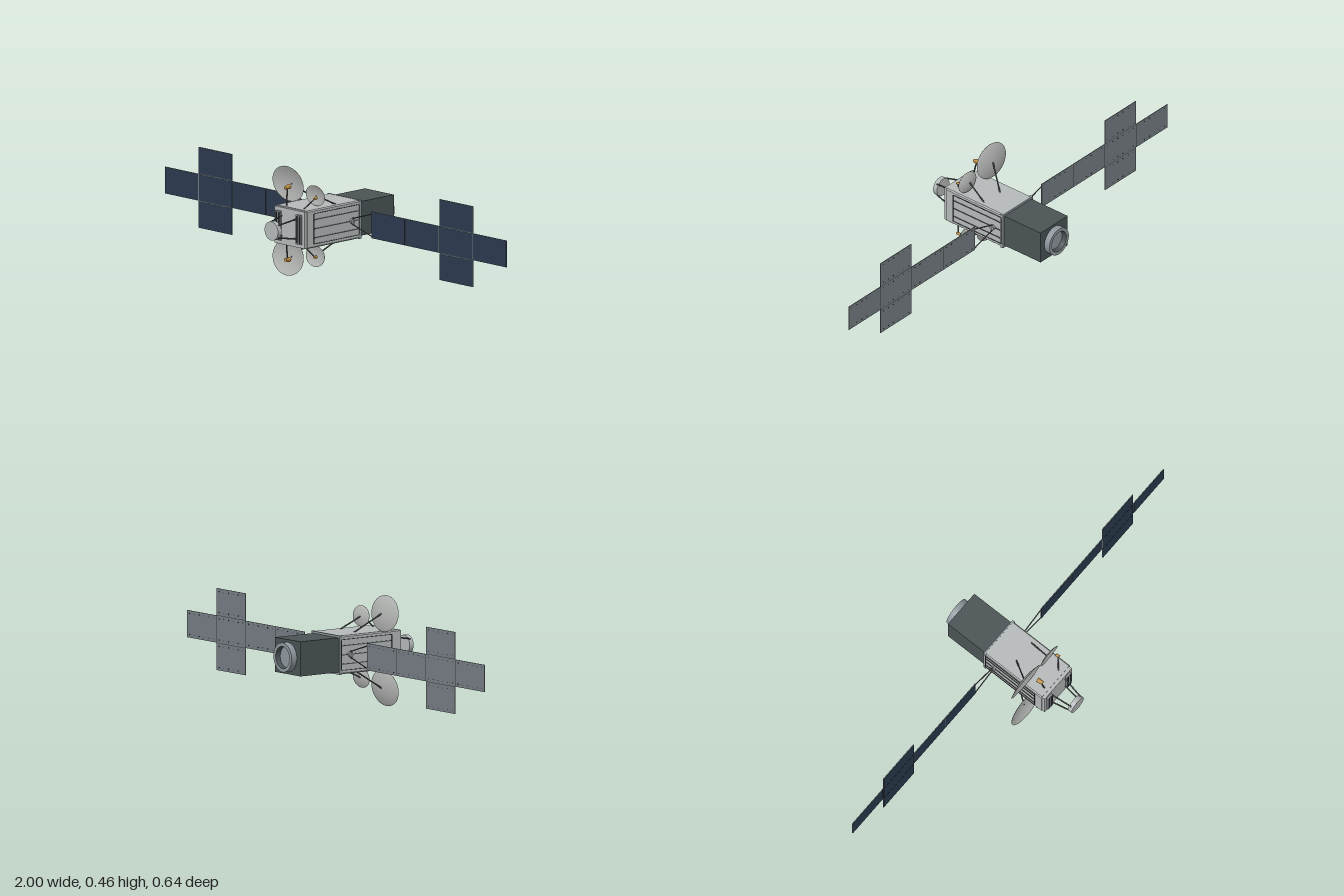
import * as THREE from 'three';

const mat = (name, color, side = THREE.FrontSide) => {
  const m = new THREE.MeshStandardMaterial({ color, side });
  m.name = name;
  return m;
};

export function createModel() {
  const M = {
    body: mat('bodyGrey', 0xb6baba),
    dish: mat('dishGrey', 0xb4b6b4, THREE.DoubleSide),
    steel: mat('steel', 0x8f979e, THREE.DoubleSide),
    charcoal: mat('charcoal', 0x4a5355),
    strut: mat('strutGrey', 0x505356),
    navy: mat('solarNavy', 0x2b3a4e),
    back: mat('panelBackGrey', 0x757d82),
    gold: mat('gold', 0xbd8c42),
    dark: mat('seamDark', 0x34383b),
  };
  const root = new THREE.Group();
  root.name = 'satellite';
  // Everything is built around the long axis of the body
  const craft = new THREE.Group();
  craft.name = 'craft';
  craft.position.y = 0.231;
  root.add(craft);

  const add = (parent, name, geo, material, x = 0, y = 0, z = 0) => {
    const m = new THREE.Mesh(geo, material);
    m.name = name;
    m.position.set(x, y, z);
    parent.add(m);
    return m;
  };
  const box = (parent, name, w, h, d, material, x, y, z) =>
    add(parent, name, new THREE.BoxGeometry(w, h, d), material, x, y, z);
  const UP = new THREE.Vector3(0, 1, 0);
  // Round rod between two points, optionally tapered
  const rod = (parent, name, a, b, r, material, r2 = r, sides = 10) => {
    const p = new THREE.Vector3(...a), q = new THREE.Vector3(...b);
    const dir = q.clone().sub(p);
    const m = add(parent, name, new THREE.CylinderGeometry(r2, r, dir.length(), sides), material);
    m.position.copy(p).add(q).multiplyScalar(0.5);
    m.quaternion.setFromUnitVectors(UP, dir.normalize());
    return m;
  };

  // Main body with softened long edges
  const w = 0.092, h = 0.0795, c = 0.005;
  const outline = new THREE.Shape([
    [-w + c, -h], [w - c, -h], [w, -h + c], [w, h - c],
    [w - c, h], [-w + c, h], [-w, h - c], [-w, -h + c],
  ].map(([x, y]) => new THREE.Vector2(x, y)));
  add(craft, 'body', new THREE.ExtrudeGeometry(outline, { depth: 0.305, bevelEnabled: false }),
    M.body, 0, 0, -0.099);
  box(craft, 'frontCap', 0.176, 0.154, 0.015, M.body, 0, 0, 0.2125);

  // Collar and corner brackets at the rear of the body
  box(craft, 'rearCollar', 0.186, 0.161, 0.006, M.steel, 0, 0, -0.097);
  for (const sx of [-1, 1]) for (const sy of [-1, 1])
    box(craft, 'cornerBracket', 0.012, 0.02, 0.013, M.steel, sx * 0.088, sy * 0.0707, -0.0935);

  // Seams and ridges on the body sides
  for (const s of [-1, 1]) {
    const x = s * 0.0925;
    for (const y of [-0.0635, 0.0635])
      box(craft, 'sideSeam', 0.003, 0.0025, 0.26, M.dark, x, y, 0.04);
    for (const z of [-0.089, 0.17])
      box(craft, 'sideSeam', 0.003, 0.127, 0.0025, M.dark, x, 0, z);
    for (const y of [-0.038, 0, 0.038])
      box(craft, 'sideRidge', 0.004, 0.0035, 0.25, M.strut, x, y, 0.042);
  }

  // Raised front racks with dark slots
  for (const s of [-1, 1]) {
    box(craft, 'frontRack', 0.03, 0.123, 0.008, M.steel, s * 0.06, 0, 0.224);
    for (const x of [0.053, 0.067])
      box(craft, 'rackSlot', 0.006, 0.114, 0.002, M.dark, s * x, 0, 0.2285);
  }

  // Forward ring on four legs
  const disc = new THREE.CylinderGeometry(0.0395, 0.0395, 0.02, 36).rotateX(Math.PI / 2);
  add(craft, 'forwardRing', disc, M.body, 0, 0, 0.313);
  for (const sx of [-1, 1]) for (const sy of [-1, 1])
    rod(craft, 'forwardLeg', [sx * 0.045, sy * 0.043, 0.215], [sx * 0.029, sy * 0.026, 0.312], 0.0032, M.strut);

  // Rear propulsion box and engine ring
  box(craft, 'rearModule', 0.17, 0.143, 0.196, M.charcoal, 0, 0.0005, -0.197);
  const ring = [[0.061, 0], [0.061, 0.027], [0.046, 0.027], [0.043, 0.006], [0, 0.006]]
    .map(([r, y]) => new THREE.Vector2(r, y));
  const parts = [['engineRingWall', 0, 2], ['engineRingLip', 1, 3], ['engineRecessWall', 2, 4], ['engineFloor', 3, 5]];
  for (const [name, i, j] of parts) {
    const g = new THREE.LatheGeometry(ring.slice(i, j), 40).rotateX(-Math.PI / 2);
    add(craft, name, g, name === 'engineRecessWall' ? M.charcoal : M.steel, 0, 0, -0.295);
  }

  // Solar wings: four panels in a row with two extra on the third
  const PZ = -0.046;
  const panel = (wing, x, y, ph) => {
    box(wing, 'panelFrame', 0.196, ph, 0.003, M.back, x, y, PZ - 0.0005);
    box(wing, 'solarCells', 0.193, ph - 0.003, 0.001, M.navy, x, y, PZ + 0.0015);
    for (const sy of [-1, 1]) for (let i = 0; i < 6; i++)
      box(wing, 'rivet', 0.004, 0.004, 0.001, M.dark, x - 0.08 + i * 0.032, y + sy * (ph / 2 - 0.012), PZ - 0.0022);
  };
  for (const s of [-1, 1]) {
    const wing = new THREE.Group();
    wing.name = s > 0 ? 'leftWing' : 'rightWing';
    craft.add(wing);
    for (let i = 0; i < 4; i++) {
      panel(wing, s * (0.308 + i * 0.198), 0.003, 0.112);
      if (i) box(wing, 'hingeStrip', 0.003, 0.11, 0.002, M.dark, s * (0.209 + i * 0.198), 0.003, PZ - 0.001);
    }
    for (const sy of [-1, 1]) {
      panel(wing, s * 0.704, 0.003 + sy * 0.1135, 0.111);
      box(wing, 'hingeStrip', 0.192, 0.003, 0.002, M.dark, s * 0.704, 0.003 + sy * 0.0572, PZ - 0.001);
      rod(wing, 'yokeArm', [s * 0.1, sy * 0.013, PZ], [s * 0.211, 0.001 + sy * 0.047, PZ], 0.0025, M.strut);
    }
    rod(wing, 'yokeBase', [s * 0.1, -0.015, PZ], [s * 0.1, 0.015, PZ], 0.003, M.strut);
    rod(wing, 'wingHub', [s * 0.088, 0, PZ], [s * 0.102, 0, PZ], 0.011, M.steel, 0.011, 20);
  }

  // Shallow elliptical dish, rim plane at its origin, facing +z
  const dishGeometry = (rx, ry, depth) => {
    const pts = [];
    for (let i = 0; i <= 8; i++) pts.push(new THREE.Vector2(i / 8, depth * ((i / 8) ** 2 - 1)));
    for (let i = 8; i >= 0; i--) pts.push(new THREE.Vector2(i / 8, depth * ((i / 8) ** 2 - 1) - 0.0015));
    return new THREE.LatheGeometry(pts.reverse(), 40).rotateX(Math.PI / 2).scale(rx, ry, 1);
  };

  // Two antennas above, mirrored below
  for (const s of [1, -1]) {
    const set = new THREE.Group();
    set.name = s > 0 ? 'upperAntennas' : 'lowerAntennas';
    set.scale.y = s;
    craft.add(set);

    const big = add(set, 'largeDish', dishGeometry(0.09, 0.075, 0.014), M.dish, -0.1, 0.154, 0.13);
    big.rotation.x = 0.12;
    const small = add(set, 'smallDish', dishGeometry(0.055, 0.043, 0.009), M.dish, 0.055, 0.127, 0.126);
    small.rotation.x = 0.1;

    rod(set, 'largeDishStrut', [-0.03, 0.077, 0.022], [-0.095, 0.154, 0.116], 0.003, M.strut);
    rod(set, 'smallDishStrut', [0.068, 0.077, 0.022], [0.05, 0.126, 0.117], 0.003, M.strut);

    rod(set, 'largeFeedStrut', [-0.05, 0.076, 0.187], [-0.06, 0.15, 0.173], 0.0032, M.strut);
    rod(set, 'largeFeedHorn', [-0.058, 0.15, 0.187], [-0.062, 0.153, 0.16], 0.007, M.gold, 0.0105, 16);
    rod(set, 'smallFeedStrut', [0.045, 0.076, 0.184], [0.08, 0.122, 0.152], 0.0028, M.strut);
    rod(set, 'smallFeedHorn', [0.083, 0.122, 0.16], [0.078, 0.124, 0.143], 0.0045, M.gold, 0.0065, 16);
  }
  return root;
}
